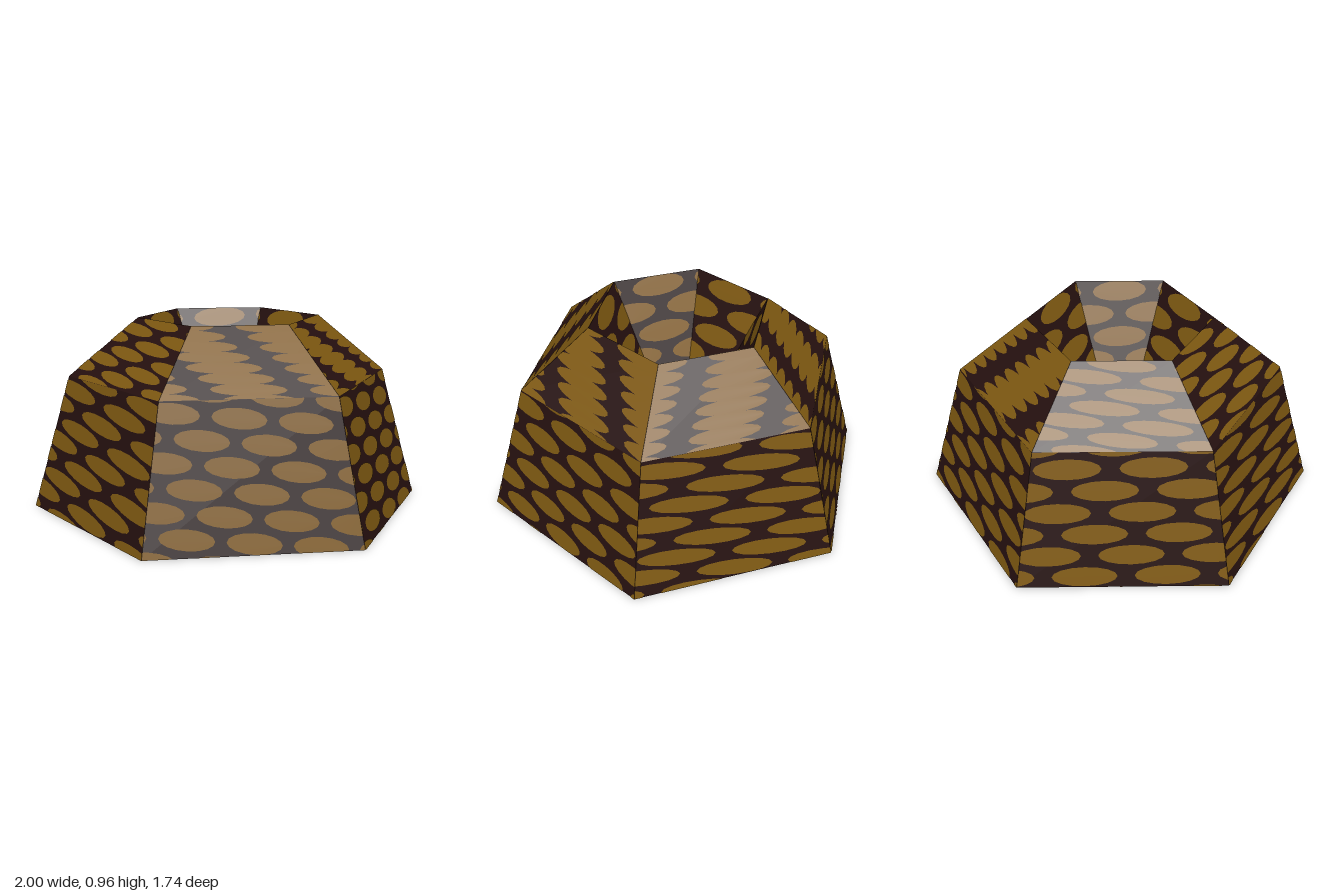
import * as THREE from 'three';

const dark = new THREE.MeshStandardMaterial({ color: 0x25100f });
dark.name = 'dark brown';
const gold = new THREE.MeshStandardMaterial({ color: 0x7d5811 });
gold.name = 'dark gold';

// Corner k of a horizontal hexagon
const corner = (r, y, k) =>
  new THREE.Vector3(r * Math.cos(k * Math.PI / 3), y, r * Math.sin(k * Math.PI / 3));

// Flat mesh from a list of convex polygons
function polygons(polys, material, name) {
  const pos = [];
  for (const p of polys)
    for (let i = 1; i < p.length - 1; i++)
      for (const v of [p[0], p[i], p[i + 1]]) pos.push(v.x, v.y, v.z);
  const g = new THREE.BufferGeometry();
  g.setAttribute('position', new THREE.Float32BufferAttribute(pos, 3));
  g.computeVertexNormals();
  const mesh = new THREE.Mesh(g, material);
  mesh.name = name;
  return mesh;
}

// Cut a 2D polygon to the inside of a convex, counter-clockwise outline
function clip(poly, outline) {
  let out = poly;
  outline.forEach((a, i) => {
    const e = outline[(i + 1) % outline.length].clone().sub(a);
    const side = (p) => e.cross(p.clone().sub(a));
    const src = out;
    out = [];
    src.forEach((p, j) => {
      const q = src[(j + 1) % src.length];
      const sp = side(p), sq = side(q);
      if (sp >= 0) out.push(p);
      if (sp * sq < 0) out.push(p.clone().lerp(q, sp / (sp - sq)));
    });
  });
  return out;
}

// Dark panel with rows of thin gold spots; the first two corners are its base line
function panel(name, corners, s) {
  const group = new THREE.Group();
  group.name = name;
  const origin = corners[0].clone().lerp(corners[1], 0.5);
  const u = corners[1].clone().sub(corners[0]).normalize();
  const n = u.clone().cross(corners[2].clone().sub(corners[0])).normalize();
  const v = n.clone().cross(u);
  const outline = corners.map((c) => {
    const d = c.clone().sub(origin);
    return new THREE.Vector2(d.dot(u), d.dot(v));
  });
  const base = origin.clone().addScaledVector(n, 0.002);
  const spots = [];
  const rows = Math.ceil(2 / s.row), cols = Math.ceil(1.3 / s.step);
  for (let j = -2; j <= rows; j++) {
    const shift = (s.shift * j) % s.step;
    for (let i = -cols; i <= cols; i++) {
      const cx = s.x + i * s.step + shift;
      const cy = s.y + j * s.row + s.tilt * cx;
      const oval = [];
      for (let k = 0; k < 16; k++) {
        const a = k * Math.PI / 8, dx = s.rx * Math.cos(a);
        oval.push(new THREE.Vector2(cx + dx, cy + s.ry * Math.sin(a) + s.tilt * dx));
      }
      const cut = clip(oval, outline);
      if (cut.length > 2)
        spots.push(cut.map((p) => base.clone().addScaledVector(u, p.x).addScaledVector(v, p.y)));
    }
  }
  group.add(polygons([corners], dark, name + 'Base'), polygons(spots, gold, name + 'Spots'));
  return group;
}

const spotRows = (step, row, shift, rx, ry, tilt = 0, x = 0, y = 0.05) =>
  ({ step, row, shift, rx, ry, tilt, x, y });

export function createModel() {
  const model = new THREE.Group();
  model.name = 'spottedHexagonalBowl';

  // Spot layouts for the six sides, starting at the front left
  const side = spotRows(0.30, 0.11, 0.17, 0.125, 0.048, -0.1);
  const front = spotRows(0.46, 0.09, 0.18, 0.19, 0.041, -0.12);
  const frontRight = spotRows(0.39, 0.11, 0.22, 0.155, 0.051, 0.02, -0.18, 0.06);
  const wallSpots = [side, front, frontRight, side, front, side];
  const sheared = spotRows(0.45, 0.06, -0.05, 0.175, 0.034, -0.04);
  const shearedBack = spotRows(0.45, 0.06, 0.03, 0.175, 0.034);
  const slopeFront = spotRows(0.40, 0.07, 0.16, 0.16, 0.033, -0.1);
  const slopeSpots = [sheared, slopeFront, slopeFront, shearedBack, shearedBack, sheared];
  const hollowSpots = spotRows(0.34, 0.12, 0.17, 0.14, 0.053, 0.05);
  const floorSpots = spotRows(0.11, 0.095, 0.055, 0.044, 0.044);

  const apex = new THREE.Vector3(0, 0.1, 0);
  for (let k = 0; k < 6; k++) {
    const ring = (r0, y0, r1, y1) =>
      [corner(r0, y0, k + 1), corner(r0, y0, k), corner(r1, y1, k), corner(r1, y1, k + 1)];
    // Lower wall, upper slope and the cone-shaped hollow
    model.add(panel('wall', ring(1, 0, 0.81, 0.67), wallSpots[k]));
    model.add(panel('upperSlope', ring(0.81, 0.67, 0.46, 0.96), slopeSpots[k]));
    model.add(panel('hollow', [corner(0.46, 0.96, k + 1), corner(0.46, 0.96, k), apex], hollowSpots));
  }

  // Underside
  const under = [4, 5, 0, 1, 2, 3].map((k) => corner(1, 0.002, k));
  model.add(panel('underside', under, floorSpots));
  return model;
}
